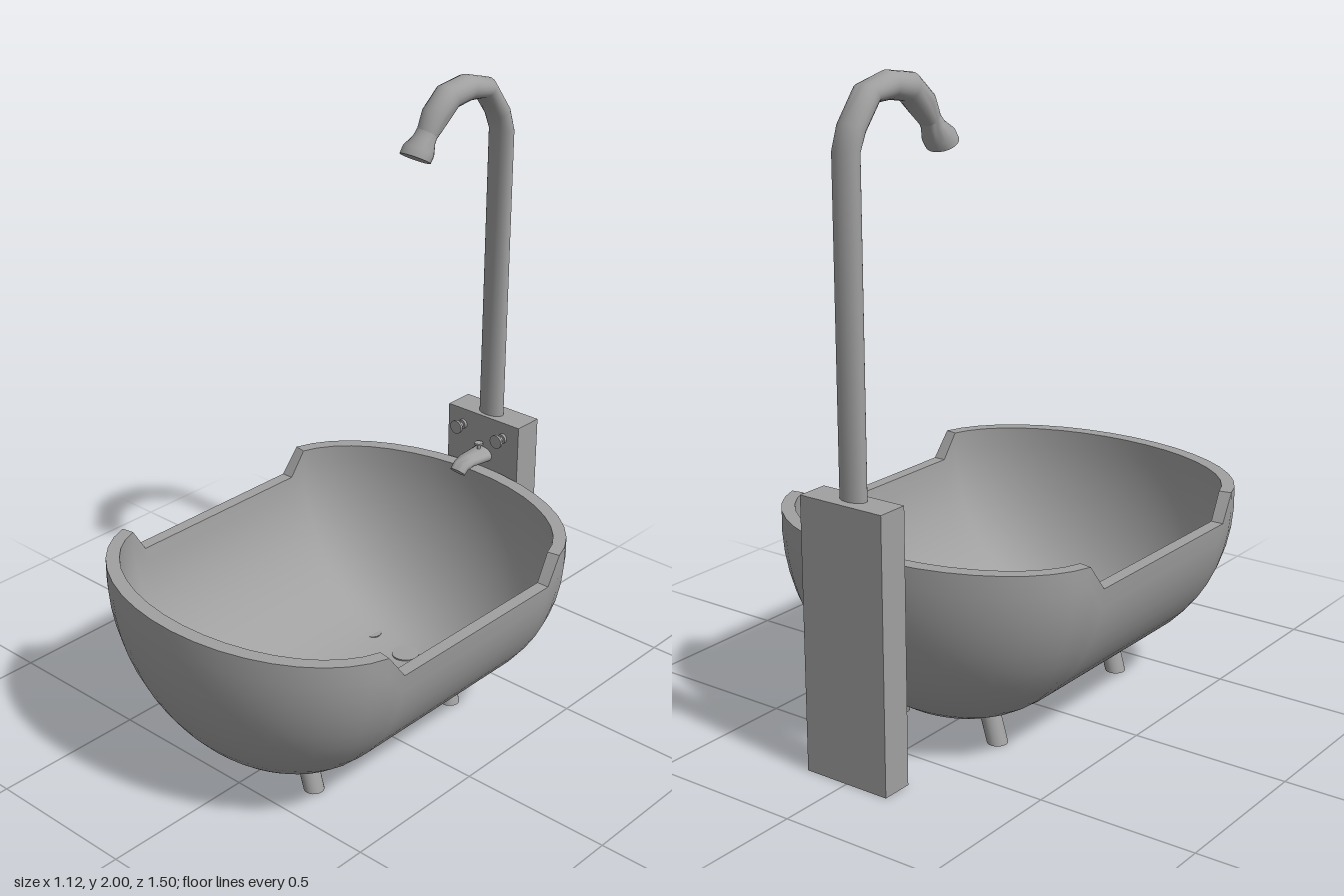
import * as THREE from 'three';
import { toCreasedNormals } from 'three/addons/utils/BufferGeometryUtils.js';

const grey = new THREE.MeshStandardMaterial({ color: 0xa0a0a0 });
grey.name = 'grey';

// Skin a grid of points; rows run along i, points in a row along j.
function skin(rows, closedI, closedJ, crease) {
  const n = rows.length, m = rows[0].length, index = [];
  for (let i = 0; i < (closedI ? n : n - 1); i++) {
    for (let j = 0; j < (closedJ ? m : m - 1); j++) {
      const k = (i + 1) % n, l = (j + 1) % m;
      const a = i * m + j, b = i * m + l, c = k * m + l, d = k * m + j;
      index.push(a, b, c, a, c, d);
    }
  }
  const geo = new THREE.BufferGeometry();
  geo.setAttribute('position', new THREE.Float32BufferAttribute(rows.flat(2), 3));
  geo.setIndex(index);
  return toCreasedNormals(geo, crease);
}

// Capped tube through points [x, y, z, half width in x, half thickness].
function pipe(points, sides = 20) {
  const first = points[0], last = points[points.length - 1];
  const pts = [[...first.slice(0, 3), 0, 0], ...points, [...last.slice(0, 3), 0, 0]];
  const rows = pts.map(([x, y, z, rx, rn], i) => {
    const p = pts[Math.max(i - 1, 0)], q = pts[Math.min(i + 1, pts.length - 1)];
    const t = new THREE.Vector3(0, q[1] - p[1], q[2] - p[2]).normalize();
    return Array.from({ length: sides }, (_, j) => {
      const a = (j / sides) * Math.PI * 2, c = Math.cos(a) * rx, s = Math.sin(a) * rn;
      return [x + c, y + t.z * s, z - t.y * s];
    });
  });
  return skin(rows, false, true, 1);
}

// Tub shell: a bowl section swept round two half-ellipse ends, with lowered sides.
function tubGeometry() {
  const centreY = 0.62, steps = 14;
  const angles = [0, 9.3];
  for (let a = 18; a <= 162; a += 9) angles.push(a);
  angles.push(170.7, 180);
  const rows = [];
  for (const [start, centreZ] of [[0, 0.38], [180, -0.28]]) {
    for (const deg of angles) {
      const a = THREE.MathUtils.degToRad(start + deg);
      const rim = deg === 0 || deg === 180 ? 0.575 : 0.657;
      const curve = (rx, rz) => {
        const end = Math.acos((centreY - rim) / rx);
        return Array.from({ length: steps + 1 }, (_, k) => {
          const phi = (end * k) / steps, r = Math.sin(phi);
          return [rx * r * Math.cos(a), centreY - rx * Math.cos(phi), centreZ + rz * r * Math.sin(a)];
        });
      };
      rows.push([...curve(0.56, 0.37), ...curve(0.52, 0.325).reverse()]);
    }
  }
  return skin(rows, true, false, 0.6);
}

export function createModel() {
  const model = new THREE.Group();
  const add = (name, geo, x = 0, y = 0, z = 0) => {
    const mesh = new THREE.Mesh(geo, grey);
    mesh.name = name;
    mesh.position.set(x, y, z);
    model.add(mesh);
    return mesh;
  };

  add('tub', tubGeometry());
  add('drain', new THREE.CylinderGeometry(0.045, 0.045, 0.006, 24), 0, 0.102, -0.275);

  // Splayed feet
  for (const side of [1, -1]) {
    for (const z of [0.365, -0.28]) {
      add('foot', pipe([[side * 0.188, 0, z, 0.032, 0.032], [side * 0.152, 0.12, z, 0.032, 0.032]]));
    }
  }

  // Column behind the tub
  add('column', new THREE.BoxGeometry(0.29, 0.84, 0.1), 0, 0.42, -0.7);

  // Shower riser, bent over at the top
  add('showerPipe', pipe([
    [0, 0.83, -0.692, 0.045, 0.028],
    [0, 1.8, -0.692, 0.045, 0.028],
    [-0.003, 1.86, -0.672, 0.045, 0.032],
    [-0.007, 1.945, -0.61, 0.045, 0.034],
    [-0.012, 1.96, -0.53, 0.045, 0.04],
    [-0.016, 1.948, -0.45, 0.045, 0.042],
    [-0.021, 1.9, -0.4, 0.044, 0.042],
    [-0.025, 1.85, -0.368, 0.036, 0.028],
  ]));
  add('showerHead', pipe([
    [-0.025, 1.86, -0.373, 0.036, 0.027],
    [-0.028, 1.835, -0.358, 0.038, 0.03],
    [-0.032, 1.805, -0.338, 0.052, 0.044],
    [-0.034, 1.783, -0.325, 0.052, 0.043],
  ]));

  // Spout with a small knob on top
  add('spout', pipe([
    [0, 0.703, -0.655, 0.04, 0.027],
    [0, 0.706, -0.57, 0.034, 0.021],
    [0, 0.698, -0.54, 0.03, 0.021],
    [0, 0.682, -0.524, 0.028, 0.02],
  ]));
  add('spoutKnobStem', new THREE.CylinderGeometry(0.006, 0.006, 0.03, 12), 0, 0.732, -0.63);
  add('spoutKnob', new THREE.CylinderGeometry(0.014, 0.014, 0.007, 16), 0, 0.747, -0.63);

  // Hot and cold valve handles
  for (const side of [1, -1]) {
    for (const [name, radius, depth, z] of [
      ['valveFlange', 0.016, 0.01, -0.645],
      ['valveStem', 0.008, 0.04, -0.63],
      ['valveHandle', 0.023, 0.008, -0.614],
    ]) {
      add(name, new THREE.CylinderGeometry(radius, radius, depth, 20), side * 0.083, 0.786, z)
        .rotation.x = Math.PI / 2;
    }
  }
  return model;
}
